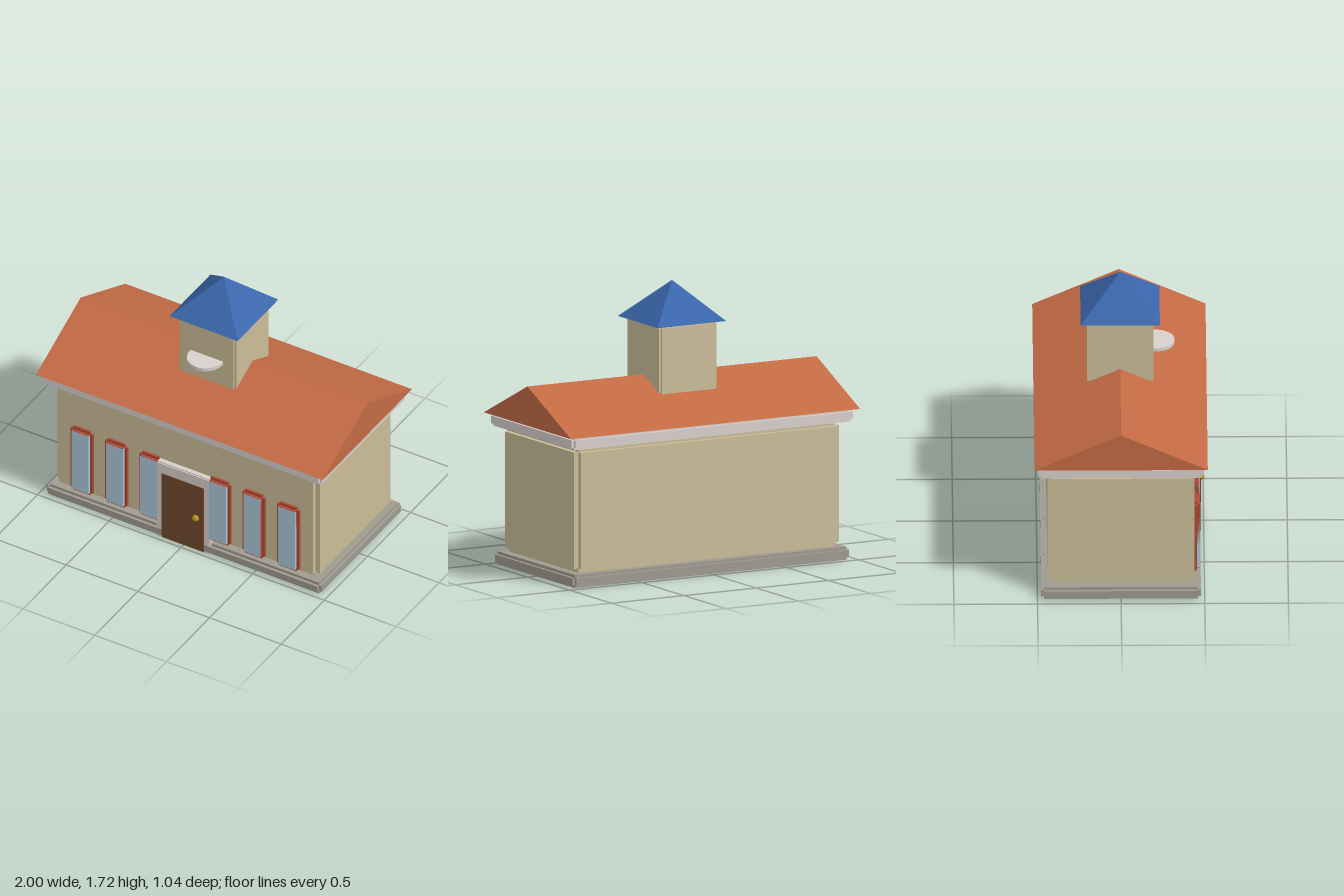
import * as THREE from 'three';

const mat = (color, flatShading = true) => new THREE.MeshStandardMaterial({ color, flatShading });
const wall = mat(0xcabd98), stone = mat(0x9f9b90), trim = mat(0xd8d0cc), tile = mat(0xc26a44);
const blue = mat(0x3a66ab), frame = mat(0xb04a35), glass = mat(0xabc8d9), wood = mat(0x70482c);
const gold = mat(0xb8921f, false), stoneDisc = mat(0xd8d0cc, false);

function add(parent, name, geometry, material, x = 0, y = 0, z = 0) {
  const mesh = new THREE.Mesh(geometry, material);
  mesh.name = name;
  mesh.position.set(x, y, z);
  parent.add(mesh);
  return mesh;
}

// Block with notched edges: three crossing boxes, each inset by r on two axes
function notchedBlock(parent, name, material, [w, h, d], r, x, y, z) {
  const block = new THREE.Group();
  block.name = name;
  block.position.set(x, y, z);
  const i = 2 * r;
  for (const size of [[w, h - i, d - i], [w - i, h, d - i], [w - i, h - i, d]]) {
    add(block, name + 'Layer', new THREE.BoxGeometry(...size), material);
  }
  parent.add(block);
  return block;
}

export function createModel() {
  const house = new THREE.Group();
  house.name = 'house';

  // Plinth, walls and cornice
  notchedBlock(house, 'plinth', stone, [1.914, 0.08, 0.955], 0.018, 0, 0.04, 0);
  notchedBlock(house, 'walls', wall, [1.83, 0.766, 0.88], 0.03, 0, 0.46, 0);
  notchedBlock(house, 'cornice', trim, [1.946, 0.078, 0.99], 0.016, 0, 0.881, 0);

  // Gabled roof
  const gable = new THREE.Shape([
    new THREE.Vector2(-0.518, 0), new THREE.Vector2(0.518, 0), new THREE.Vector2(0, 0.239),
  ]);
  const roofGeometry = new THREE.ExtrudeGeometry(gable, { depth: 2, bevelEnabled: false });
  roofGeometry.translate(0, 0, -1).rotateY(Math.PI / 2);
  add(house, 'roof', roofGeometry, tile, 0, 0.92, 0);

  // Tower with pyramid roof and a round ledge
  notchedBlock(house, 'tower', wall, [0.398, 0.52, 0.398], 0.013, 0, 1.22, 0);
  const spire = new THREE.ConeGeometry(0.237 * Math.SQRT2, 0.235, 4).rotateY(Math.PI / 4);
  add(house, 'towerRoof', spire, blue, 0, 1.5975, 0);
  add(house, 'towerLedge', new THREE.CylinderGeometry(0.113, 0.113, 0.022, 32), stoneDisc, 0, 1.239, 0.213);

  // Three windows on each side of the door
  for (const side of [-1, 1]) {
    for (const x of [0.24, 0.48, 0.72]) {
      const win = new THREE.Group();
      win.name = 'window';
      win.position.set(side * x, 0.339, 0);
      notchedBlock(win, 'windowFrame', frame, [0.155, 0.476, 0.07], 0.018, 0, 0, 0.438);
      add(win, 'windowPane', new THREE.BoxGeometry(0.119, 0.434, 0.03), glass, 0, 0, 0.4595);
      house.add(win);
    }
  }

  // Entrance
  notchedBlock(house, 'doorSurround', trim, [0.376, 0.565, 0.07], 0.007, 0, 0.2825, 0.4412);
  notchedBlock(house, 'door', wood, [0.31, 0.492, 0.06], 0.008, 0, 0.25, 0.4525);
  add(house, 'doorKnob', new THREE.SphereGeometry(0.022, 20, 14), gold, 0.094, 0.25, 0.484);

  return house;
}
